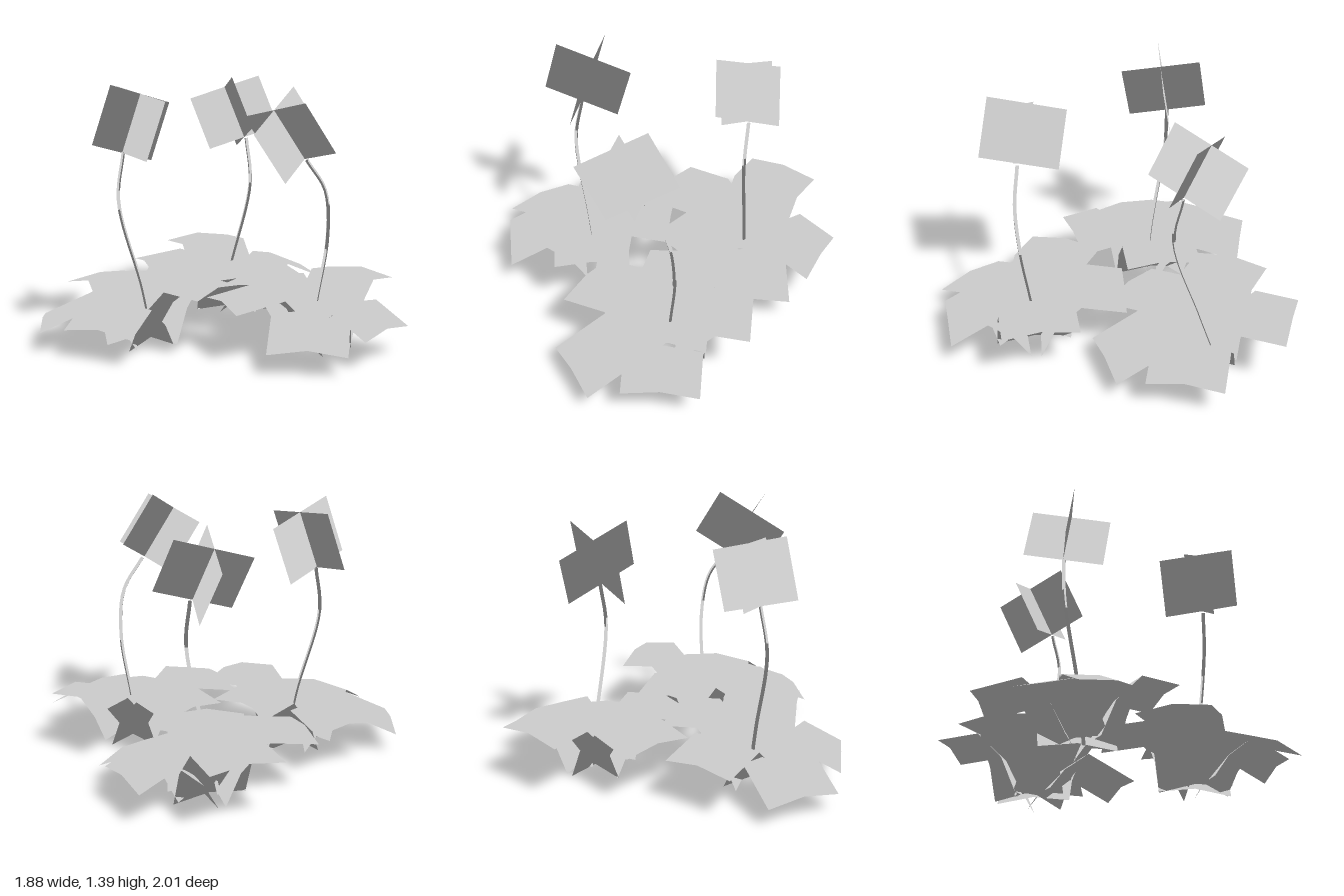
import * as THREE from 'three';

const material = new THREE.MeshStandardMaterial({ color: 0xcccccc, side: THREE.DoubleSide });

// Foliage is shaded evenly: every leaf and stem shares one almost upright normal
const foliageNormal = [-0.01, 1, 0.01];

const vec = (a) => new THREE.Vector3(...a);

// Sheet of quads through rows of points
function sheet(rows) {
  const cols = rows[0].length;
  const index = [];
  for (let r = 0; r < rows.length - 1; r++) {
    for (let c = 0; c < cols - 1; c++) {
      const a = r * cols + c, b = a + cols;
      index.push(a, a + 1, b, b, a + 1, b + 1);
    }
  }
  const geometry = new THREE.BufferGeometry().setFromPoints(rows.flat());
  geometry.setIndex(index);
  return geometry;
}

// Broad strip rising from the root, bending outward, folded along its midrib;
// the lower the tip, the lower the shoulder it droops from
function leafGeometry([heading, reach, tip], i, [x, z]) {
  const shoulder = 0.2 + tip / 2;
  const profile = [
    [0.04, 0.03 + (i % 3) * 0.012],
    [0.12, shoulder * 0.6],
    [0.26, shoulder],
    [reach, tip],
  ];
  const half = 0.203, fold = 0.03;
  const rows = profile.map(([r, y]) => [-1, 0, 1].map(
    (s) => new THREE.Vector3(r, y - fold * Math.abs(s), s * half)));
  return sheet(rows).rotateY(-THREE.MathUtils.degToRad(heading)).translate(x, 0, z);
}

// Flat card spanned by an up edge and a width edge
function cardGeometry(centre, up, width) {
  return sheet([-0.5, 0.5].map((v) => [-0.5, 0.5].map(
    (u) => vec(centre).addScaledVector(vec(up), v).addScaledVector(vec(width), u))));
}

// Adds a mesh whose vertices all share one normal
function add(parent, geometry, name, normal) {
  const n = vec(normal).normalize();
  const { position } = geometry.attributes;
  const normals = position.clone();
  for (let i = 0; i < position.count; i++) normals.setXYZ(i, n.x, n.y, n.z);
  geometry.setAttribute('normal', normals);
  const mesh = new THREE.Mesh(geometry, material);
  mesh.name = name;
  parent.add(mesh);
}

// root: [x, z]; leaves: [heading in degrees from +x towards +z, reach, tip height];
// bloom: centre, up edge, the two crossing width edges and their shared normal
function createPlant({ root, leaves, stem, bloom }) {
  const plant = new THREE.Group();
  plant.name = 'flowerPlant';

  // Rosette of leaves
  leaves.forEach((leaf, i) => add(plant, leafGeometry(leaf, i, root), 'leaf', foliageNormal));

  // Curved stem
  const path = new THREE.CatmullRomCurve3(stem.map(vec));
  add(plant, new THREE.TubeGeometry(path, 20, 0.01, 5), 'stem', foliageNormal);

  // Bloom of two crossed cards
  const head = new THREE.Group();
  head.name = 'bloom';
  plant.add(head);
  for (const width of bloom.widths) {
    add(head, cardGeometry(bloom.centre, bloom.up, width), 'petalCard', bloom.normal);
  }
  return plant;
}

export function createModel() {
  const model = new THREE.Group();
  model.name = 'flowerCluster';

  // Right-hand plant
  model.add(createPlant({
    root: [-0.36, 0.02],
    leaves: [[-101.5, 0.52, 0.28], [197, 0.545, 0.14], [138, 0.465, 0.18], [51, 0.465, 0.36], [-29, 0.456, 0.36]],
    stem: [[-0.32, 0.03, 0.03], [-0.37, 0.3, 0.02], [-0.485, 0.77, -0.02], [-0.45, 1.03, -0.04]],
    bloom: {
      centre: [-0.405, 1.18, -0.037], up: [0.1, 0.31, 0.01],
      widths: [[0.37, -0.12, -0.16], [0.15, -0.05, 0.39]], normal: [-0.06, 1, -0.06],
    },
  }));

  // Back plant
  model.add(createPlant({
    root: [0.34, -0.5],
    leaves: [[-95.5, 0.49, 0.36], [-9, 0.475, 0.21], [51, 0.53, 0.15], [109, 0.48, 0.29], [182, 0.535, 0.32]],
    stem: [[0.3, 0.03, -0.58], [0.34, 0.3, -0.5], [0.4, 0.77, -0.37], [0.39, 1.02, -0.41]],
    bloom: {
      centre: [0.337, 1.165, -0.465], up: [-0.08, 0.28, -0.11],
      widths: [[0.41, 0.12, 0.02], [-0.06, 0.15, 0.4]], normal: [0.06, 1, -0.06],
    },
  }));

  // Front plant
  model.add(createPlant({
    root: [0.46, 0.41],
    leaves: [[178, 0.53, 0.3], [117, 0.56, 0.14], [59, 0.46, 0.18], [-30, 0.44, 0.36], [-114, 0.5, 0.31]],
    stem: [[0.475, 0.25, 0.41], [0.52, 0.6, 0.44], [0.49, 0.85, 0.47], [0.37, 1.02, 0.5]],
    bloom: {
      centre: [0.27, 1.157, 0.505], up: [-0.18, 0.26, 0.02],
      widths: [[0.3, 0.21, -0.21], [0.18, 0.1, 0.37]], normal: [-0.06, 1, 0.06],
    },
  }));

  return model;
}
